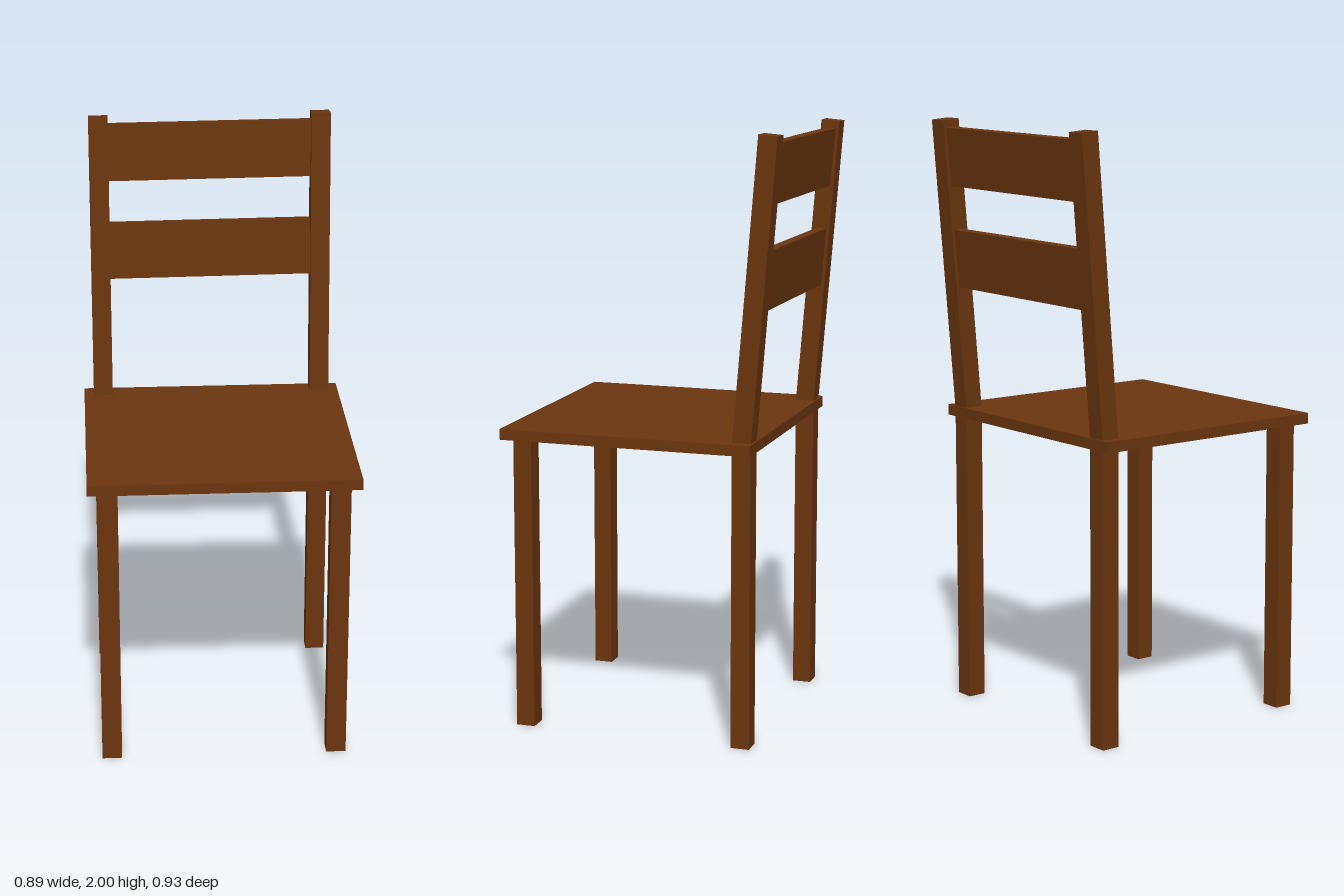
import * as THREE from 'three';

const wood = new THREE.MeshStandardMaterial({ color: 0x6b350f });

function box(name, w, h, d, x, y, z) {
  const mesh = new THREE.Mesh(new THREE.BoxGeometry(w, h, d), wood);
  mesh.name = name;
  mesh.position.set(x, y, z);
  return mesh;
}

export function createModel() {
  const chair = new THREE.Group();
  chair.name = 'chair';

  // Thin square seat
  chair.add(box('seat', 0.89, 0.036, 0.855, 0, 1.002, 0.038));

  // Backrest leans back about its foot on the seat
  const backrest = new THREE.Group();
  backrest.name = 'backrest';
  backrest.position.set(0, 1, -0.35);
  backrest.rotation.x = -0.082;
  chair.add(backrest);

  for (const [side, s] of [['left', 1], ['right', -1]]) {
    // Square legs
    const x = s * 0.379;
    chair.add(box(side + 'FrontLeg', 0.066, 0.99, 0.063, x, 0.495, 0.4));
    chair.add(box(side + 'BackLeg', 0.066, 0.99, 0.063, x, 0.495, -0.351));

    // Back posts, the left a touch taller
    const top = s > 0 ? 1.001 : 0.994;
    backrest.add(box(side + 'BackPost', 0.066, top + 0.01, 0.063, x, (top - 0.01) / 2, 0));
  }

  // Two slats between the posts, very slightly askew
  for (const [name, y] of [['upperSlat', 0.875], ['lowerSlat', 0.532]]) {
    const slat = box(name, 0.72, 0.195, 0.031, 0, y, -0.004);
    slat.rotation.z = 0.009;
    backrest.add(slat);
  }

  return chair;
}
